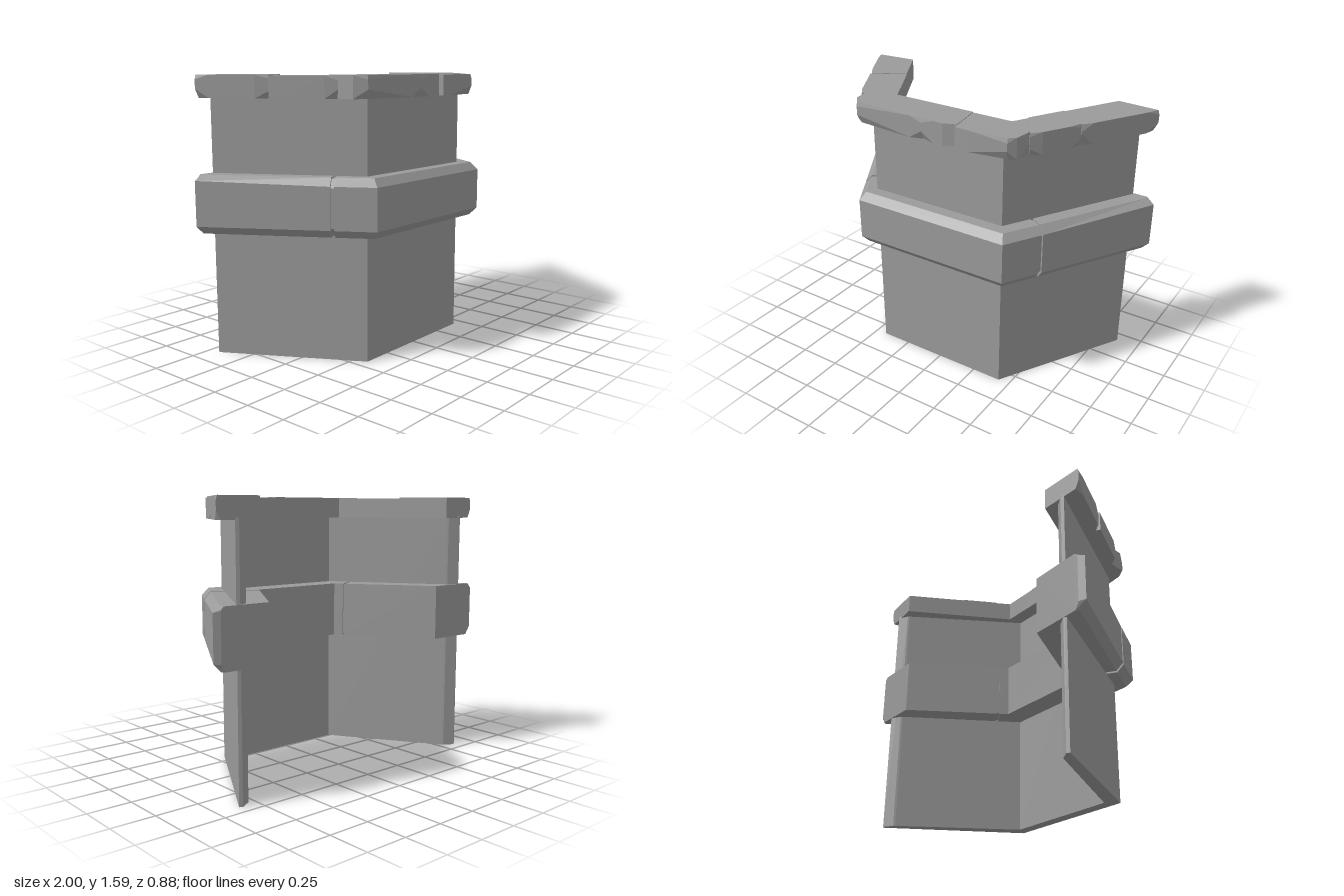
import * as THREE from 'three';

const material = new THREE.MeshStandardMaterial({ color: 0x9a9a9a, flatShading: true });
const mix = (a, b, t) => a + (b - a) * t;
const mix2 = (p, q, t) => [mix(p[0], q[0], t), mix(p[1], q[1], t)];

// Sweeps a six-point section through columns running from -x to +x.
// Column: outer and inner plan points [x, z]; cuts on the outer edges as
// [bottom depth, bottom height, top depth, top height], depth as a share of the thickness.
function block(name, y0, y1, columns) {
  const rings = columns.map(({ outer, inner, cut = [0, 0, 0, 0] }) => {
    const [bd, bh, td, th] = cut;
    const section = [[bd, y0], [0, y0 + bh], [0, y1 - th], [td, y1], [1, y1], [1, y0]];
    return section.map(([f, y]) => {
      const [x, z] = mix2(outer, inner, f);
      return [x, y, z];
    });
  });
  const pos = [];
  const tri = (a, b, c) => pos.push(...a, ...b, ...c);
  for (let i = 0; i < rings.length - 1; i++) {
    const a = rings[i], b = rings[i + 1];
    for (let k = 0; k < 6; k++) {
      const n = (k + 1) % 6;
      tri(a[k], b[k], b[n]);
      tri(a[k], b[n], a[n]);
    }
  }
  const first = rings[0], last = rings[rings.length - 1];
  for (let k = 1; k < 5; k++) {
    tri(first[0], first[k], first[k + 1]);
    tri(last[0], last[k + 1], last[k]);
  }
  const geometry = new THREE.BufferGeometry();
  geometry.setAttribute('position', new THREE.Float32BufferAttribute(pos, 3));
  geometry.computeVertexNormals();
  const mesh = new THREE.Mesh(geometry, material);
  mesh.name = name;
  return mesh;
}

const mirror = ([x, z]) => [-x, z];

export function createModel() {
  const model = new THREE.Group();
  model.name = 'threeSidedWall';

  // Wall: three thin panels, open at the back
  const wallHalf = [
    { outer: [-0.848, -0.44], inner: [-0.788, -0.405] },
    { outer: [-0.865, -0.43], inner: [-0.78, -0.395] },
    { outer: [-0.43, 0.33], inner: [-0.376, 0.257] },
  ];
  const flip = (c) => ({ outer: mirror(c.outer), inner: mirror(c.inner) });
  model.add(block('wall', 0, 1.48, [...wallHalf, ...wallHalf.map(flip).reverse()]));

  // Band: a middle stone that turns both corners, and one stone along each side
  const band = new THREE.Group();
  band.name = 'band';
  const bevel = [0.12, 0.045, 0.12, 0.045];
  const corner = { '-1': [-0.48, 0.44], 1: [0.5, 0.44] };
  const end = { '-1': [-1, -0.42], 1: [1, -0.42] };
  const innerCorner = { '-1': [-0.29, 0.11], 1: [0.315, 0.11] };
  const innerEnd = { '-1': [-0.64, -0.44], 1: [0.667, -0.44] };
  const joint = (s, zOut, zIn, depth = 0) => {
    const outer = mix2(end[s], corner[s], (zOut + 0.42) / 0.86);
    const inner = mix2(innerEnd[s], innerCorner[s], (zIn + 0.44) / 0.55);
    return { outer: mix2(outer, inner, depth), inner: mix2(inner, outer, depth), cut: bevel };
  };
  const turn = (s) => ({ outer: corner[s], inner: innerCorner[s], cut: bevel });
  band.add(block('bandMiddle', 0.72, 1.05,
    [joint(-1, 0.24, 0.062), turn(-1), turn(1), joint(1, 0.24, 0.062)]));
  for (const s of [-1, 1]) {
    const side = [
      { outer: [s * 0.965, -0.44], inner: innerEnd[s], cut: [0.08, 0.04, 0.06, 0.02] },
      { ...joint(s, -0.42, -0.43), cut: [0.13, 0.045, 0.14, 0.03] },
      joint(s, 0.222, 0.05),
    ];
    const core = [joint(s, 0.2, 0.03, 0.04), joint(s, 0.26, 0.085, 0.04)];
    band.add(block('bandSide', 0.72, 1.05, s < 0 ? side : side.reverse()));
    band.add(block('bandJoint', 0.73, 1.04, s < 0 ? core : core.reverse()));
  }
  model.add(band);

  // Coping: stones placed along the wall, t = 0..3 counting the three panels
  const outerPath = [[-0.975, -0.42], [-0.5, 0.4], [0.49, 0.4], [0.97, -0.42]];
  const innerPath = [[-0.72, -0.44], [-0.38, 0.165], [0.38, 0.165], [0.72, -0.44]];
  const at = (path, t) => {
    const i = Math.min(2, Math.floor(t));
    return mix2(path[i], path[i + 1], t - i);
  };
  // A stone's face is set back and its lower edge chipped only near its two ends
  const stone = (from, to, startInset, startChip, endInset, endChip, y1) => {
    const rows = [[from, startInset, startChip], [from + 0.08, 0, 0], [to - 0.08, 0, 0], [to, endInset, endChip]];
    for (const t of [1, 2]) {
      if (t > from && t < to) rows.push([t, 0.04, 0.1]);
    }
    rows.sort((a, b) => a[0] - b[0]);
    return block('copingStone', 1.467, y1, rows.map(([t, inset, chip]) => {
      const inner = at(innerPath, t);
      const outer = mix2(at(outerPath, t), inner, inset);
      return { outer, inner, cut: [chip, chip * 0.5, chip * 0.3, chip * 0.25] };
    }));
  };
  const coping = new THREE.Group();
  coping.name = 'coping';
  coping.add(
    stone(0, 0.43, 0, 0.1, 0.04, 0.08, 1.592),
    stone(0.43, 0.83, 0, 0, 0.04, 0.1, 1.588),
    stone(0.83, 1.46, 0.16, 0, 0, 0.1, 1.592),
    stone(1.46, 1.68, 0, 0.1, 0.12, 0, 1.592),
    stone(1.68, 2.14, 0, 0, 0.16, 0.1, 1.588),
    stone(2.14, 2.47, 0.05, 0.08, 0.03, 0.08, 1.592),
    stone(2.47, 3, 0, 0.15, 0, 0.1, 1.588),
  );
  model.add(coping);
  return model;
}
